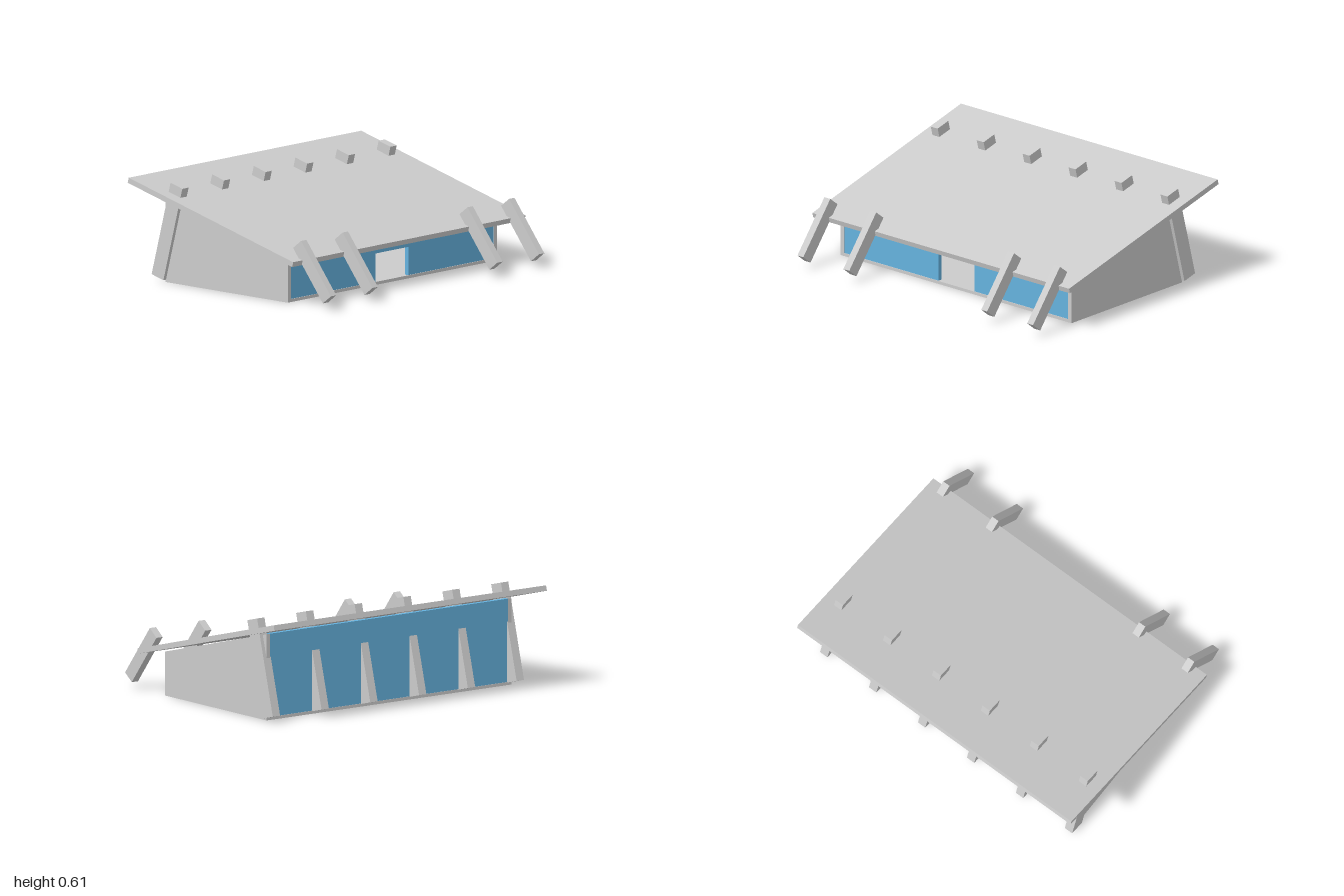
import * as THREE from 'three';

const grey = new THREE.MeshStandardMaterial({ color: 0xcccccc, flatShading: true });
const blue = new THREE.MeshStandardMaterial({ color: 0x65b2de, flatShading: true });

// Side profile given as [z, y] points, extruded to a width along x
function prism(name, points, width, x = 0, material = grey) {
  const shape = new THREE.Shape(points.map(([z, y]) => new THREE.Vector2(z, y)));
  const geometry = new THREE.ExtrudeGeometry(shape, { depth: width, bevelEnabled: false });
  geometry.translate(0, 0, -width / 2).rotateY(-Math.PI / 2);
  const mesh = new THREE.Mesh(geometry, material);
  mesh.name = name;
  mesh.position.x = x;
  return mesh;
}

function box(name, w, h, d, x, y, z, material = grey) {
  const mesh = new THREE.Mesh(new THREE.BoxGeometry(w, h, d), material);
  mesh.name = name;
  mesh.position.set(x, y, z);
  return mesh;
}

export function createModel() {
  const house = new THREE.Group();
  house.name = 'house';

  // Sloping roof slab
  house.add(prism('roof', [[0.535, 0.24], [0.543, 0.27], [-0.752, 0.605], [-0.76, 0.574]], 2));

  // Floor and wedge-shaped end walls
  house.add(box('floor', 1.8, 0.018, 0.965, 0, 0.009, -0.0725));
  const wall = [[0.41, 0], [0.41, 0.26], [-0.555, 0.51], [-0.555, 0]];
  for (const side of [-1, 1]) {
    house.add(prism(side > 0 ? 'leftWall' : 'rightWall', wall, 0.026, side * 0.887));
  }

  // Front glazing with a doorway cut through it
  const front = new THREE.Shape();
  front.moveTo(-0.874, 0.018).lineTo(-0.14, 0.018).lineTo(-0.14, 0.185).lineTo(0.14, 0.185);
  front.lineTo(0.14, 0.018).lineTo(0.874, 0.018).lineTo(0.874, 0.258).lineTo(-0.874, 0.258);
  const frontGlass = new THREE.Mesh(
    new THREE.ExtrudeGeometry(front, { depth: 0.026, bevelEnabled: false }), blue);
  frontGlass.name = 'frontGlass';
  frontGlass.position.z = 0.38;
  house.add(frontGlass);

  // Rear glazing and the inner core seen through the doorway
  house.add(box('rearGlass', 1.748, 0.492, 0.026, 0, 0.264, -0.54, blue));
  house.add(box('innerCore', 0.13, 0.28, 0.13, 0, 0.158, -0.15));

  // Raking rear buttresses that pass up through the roof
  const rear = [[-0.55, 0.014], [-0.643, 0.038], [-0.494, 0.597], [-0.401, 0.573]];
  for (let i = 0; i < 6; i++) {
    house.add(prism('rearButtress', rear, 0.054, -0.895 + i * 0.358));
  }

  // Raking posts against the front eave
  const post = [[0.765, 0.085], [0.702, 0.036], [0.467, 0.334], [0.53, 0.383]];
  for (const x of [-0.895, -0.537, 0.537, 0.895]) {
    house.add(prism('frontPost', post, 0.046, x));
  }

  return house;
}
